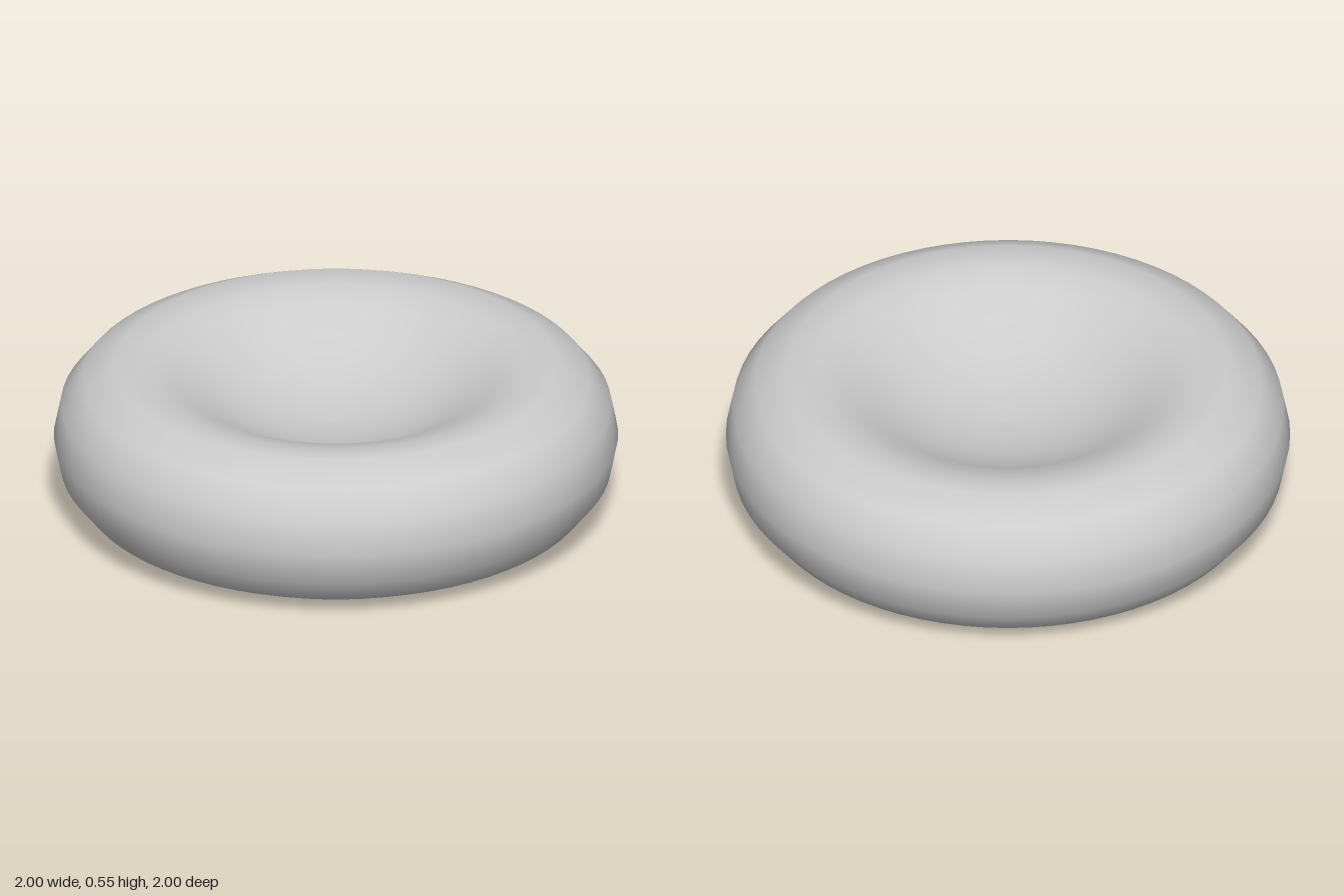
import * as THREE from 'three';

// Half profile of the biconcave disc: [radius, height above the middle plane]
const HALF = [
  [0, 0.05], [0.12, 0.056], [0.24, 0.078], [0.35, 0.115], [0.46, 0.168],
  [0.57, 0.237], [0.67, 0.265], [0.78, 0.275], [0.9, 0.216], [0.975, 0.122],
];

export function createModel() {
  const group = new THREE.Group();
  group.name = 'biconcaveDisc';
  const mid = 0.275;

  // Bottom dimple outward, round the rim, then back in over the top dimple
  const points = [
    ...HALF.map(([r, h]) => new THREE.Vector2(r, mid - h)),
    new THREE.Vector2(1, mid),
    ...HALF.slice().reverse().map(([r, h]) => new THREE.Vector2(r, mid + h)),
  ];

  const disc = new THREE.Mesh(
    new THREE.LatheGeometry(points, 72),
    new THREE.MeshStandardMaterial({ color: 0xcccccc }),
  );
  disc.name = 'dimpledDisc';
  group.add(disc);
  return group;
}
